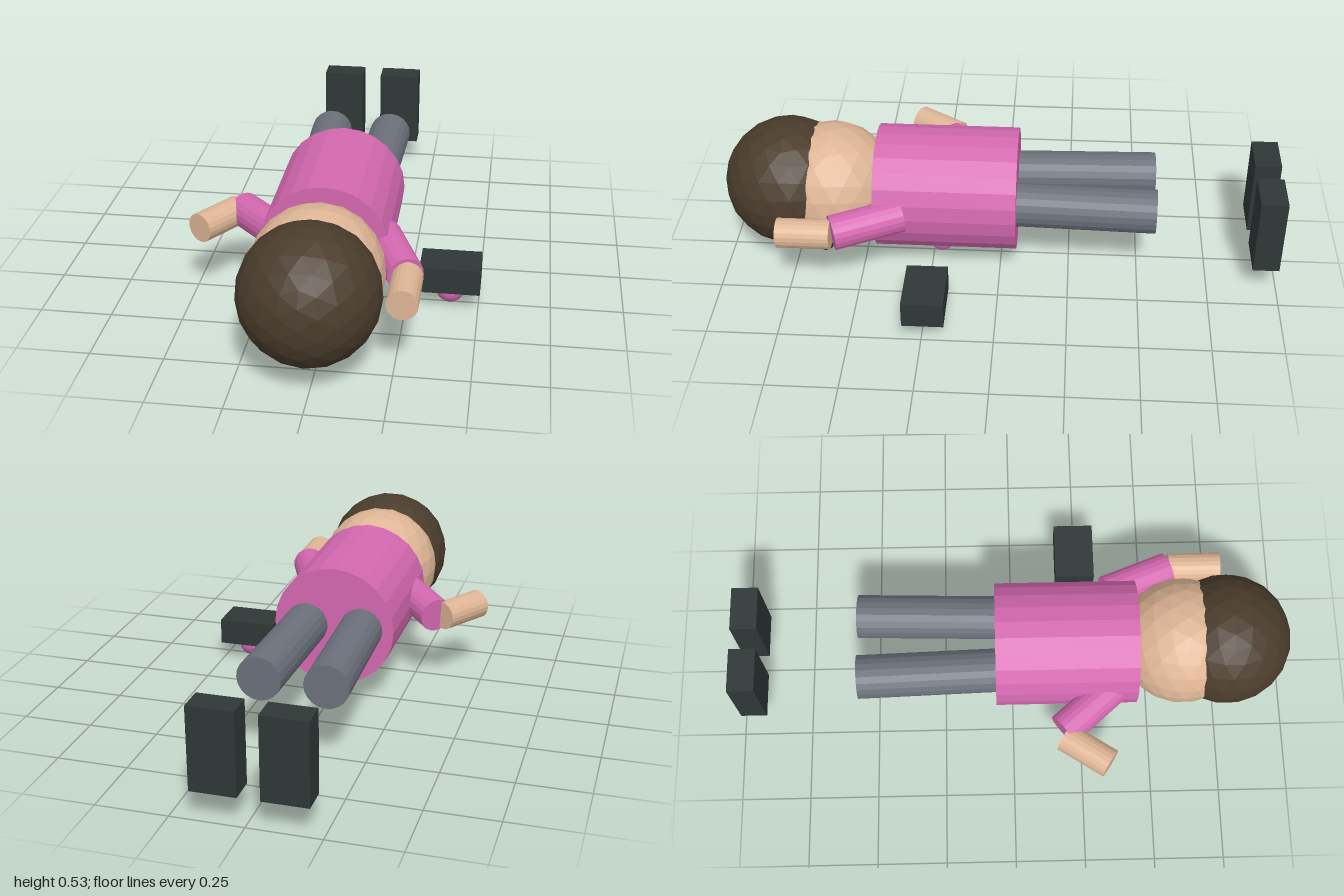
import * as THREE from 'three';

function flat(name, color) {
  const m = new THREE.MeshStandardMaterial({ color, flatShading: true });
  m.name = name;
  return m;
}

export function createModel() {
  const model = new THREE.Group();
  model.name = 'lyingFigure';
  const pink = flat('pink', 0xd468b0);
  const skin = flat('skin', 0xdeb595);
  const hair = flat('hairBrown', 0x4a3c2c);
  const grey = flat('trouserGrey', 0x6b707a);
  const dark = flat('darkSlate', 0x2f3737);
  const brown = flat('mouthBrown', 0x4f2c20);
  const CX = -0.014; // middle of the body

  function add(name, geometry, material, x, y, z) {
    const mesh = new THREE.Mesh(geometry, material);
    mesh.name = name;
    mesh.position.set(x, y, z);
    model.add(mesh);
    return mesh;
  }
  const ball = (name, mat, r, x, y, z) =>
    add(name, new THREE.IcosahedronGeometry(r, 3), mat, x, y, z);
  const box = (name, mat, w, h, d, x, y, z) =>
    add(name, new THREE.BoxGeometry(w, h, d), mat, x, y, z);

  // Cylinder between two points
  function rod(name, mat, r, from, to, sides = 20) {
    const a = new THREE.Vector3(...from), b = new THREE.Vector3(...to);
    const dir = b.clone().sub(a);
    const mid = a.clone().add(b).multiplyScalar(0.5);
    const mesh = add(name, new THREE.CylinderGeometry(r, r, dir.length(), sides), mat, mid.x, mid.y, mid.z);
    mesh.quaternion.setFromUnitVectors(new THREE.Vector3(0, 1, 0), dir.normalize());
  }

  // Torso, head and hair
  rod('torso', pink, 0.22, [CX, 0.285, -0.06], [CX, 0.285, 0.443], 24);
  ball('head', skin, 0.225, CX, 0.285, 0.612);
  ball('hair', hair, 0.233, CX, 0.293, 0.768);

  // Face and belly button, facing down
  box('mouth', brown, 0.08, 0.016, 0.022, CX, 0.07, 0.545);
  ball('button', pink, 0.048, CX, 0.048, 0.22);

  // Mirrored eyes, legs and shoes
  for (const [side, s] of [['left', 1], ['right', -1]]) {
    ball(side + 'Eye', dark, 0.029, CX + s * 0.08, 0.067, 0.643);
    rod(side + 'Leg', grey, 0.078, [CX + s * 0.1, 0.287, -0.03], [CX + s * 0.116, 0.287, -0.555]);
    box(side + 'Shoe', dark, 0.157, 0.29, 0.095, CX + s * 0.116, 0.245, -0.953);
  }

  // Arms in two different poses
  rod('leftSleeve', pink, 0.062, [0.175, 0.29, 0.346], [0.27, 0.273, 0.577]);
  rod('leftForearm', skin, 0.052, [0.277, 0.272, 0.58], [0.277, 0.272, 0.768]);
  rod('rightSleeve', pink, 0.062, [-0.183, 0.29, 0.36], [-0.339, 0.273, 0.175]);
  rod('rightForearm', skin, 0.052, [-0.362, 0.272, 0.18], [-0.464, 0.272, 0.336]);

  // Separate box with a round knob beneath
  box('sideBox', dark, 0.21, 0.095, 0.145, 0.4, 0.113, 0.243);
  ball('sideKnob', pink, 0.052, 0.4, 0.053, 0.243);

  return model;
}
